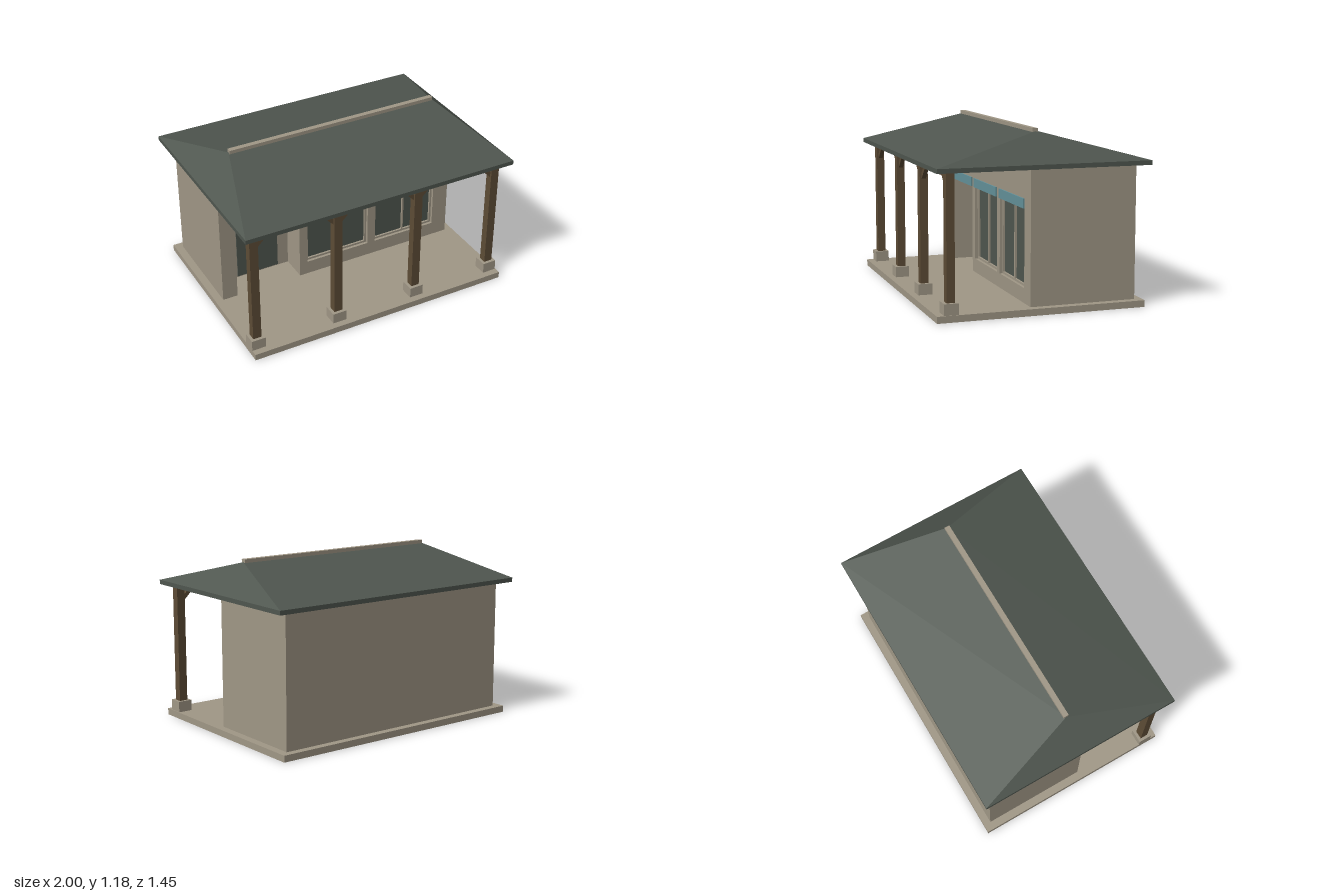
import * as THREE from 'three';

const mat = (name, color) => {
  const m = new THREE.MeshStandardMaterial({ color });
  m.name = name;
  return m;
};

export function createModel() {
  const house = new THREE.Group();
  house.name = 'pavilion';
  const stone = mat('beige stone', 0xa09786);
  const slate = mat('dark slate', 0x4f564f);
  const wood = mat('brown wood', 0x5d4c36);
  const teal = mat('teal', 0x64929a);

  const add = (name, geometry, material) => {
    const mesh = new THREE.Mesh(geometry, material);
    mesh.name = name;
    house.add(mesh);
    return mesh;
  };
  // Box given by its limits on each axis
  const box = (name, material, x0, x1, y0, y1, z0, z1) => {
    const g = new THREE.BoxGeometry(x1 - x0, y1 - y0, z1 - z0);
    g.translate((x0 + x1) / 2, (y0 + y1) / 2, (z0 + z1) / 2);
    return add(name, g, material);
  };
  const polygon = (pts) => new THREE.Shape(pts.map(([x, y]) => new THREE.Vector2(x, y)));
  const rect = (x0, x1, y0, y1) => polygon([[x0, y0], [x1, y0], [x1, y1], [x0, y1]]);
  const extrude = (shape, z0, z1) => {
    const g = new THREE.ExtrudeGeometry(shape, { depth: z1 - z0, bevelEnabled: false });
    return g.translate(0, 0, z0);
  };

  // Floor slab and rear body of the room
  box('floorSlab', stone, -0.965, 0.965, 0, 0.045, -0.705, 0.715);
  box('rearBody', stone, -0.91, 0.91, 0.045, 0.945, -0.655, -0.12);

  // Front wall with a door notch and two window openings
  const windows = [[-0.25, 0.24], [0.3, 0.79]];
  const wall = polygon([
    [-0.91, 0.045], [-0.8, 0.045], [-0.8, 0.7], [-0.31, 0.7], [-0.31, 0.045],
    [0.91, 0.045], [0.91, 0.945], [-0.91, 0.945],
  ]);
  windows.forEach(([a, b]) => wall.holes.push(rect(a, b, 0.145, 0.7)));
  add('frontWall', extrude(wall, -0.12, 0.075), stone);
  box('wallTopPlate', stone, -0.93, 0.93, 0.935, 0.955, 0.03, 0.125);

  // Recessed door and handle
  box('door', slate, -0.71, -0.395, 0.055, 0.675, -0.122, -0.113);
  box('doorHandle', wood, -0.459, -0.451, 0.32, 0.41, -0.113, -0.1);

  // Window frames and panes
  windows.forEach(([a, b]) => {
    const mid = (a + b) / 2;
    const frame = rect(a, b, 0.145, 0.7);
    frame.holes.push(rect(a + 0.015, mid - 0.006, 0.16, 0.685));
    frame.holes.push(rect(mid + 0.006, b - 0.015, 0.16, 0.685));
    add('windowFrame', extrude(frame, 0.03, 0.055), stone);
    box('windowGlass', slate, a + 0.005, b - 0.005, 0.15, 0.695, 0.033, 0.041);
  });

  // Coloured lintels above each opening
  [[-0.8, -0.31], ...windows].forEach(([a, b]) => {
    box('lintel', teal, a, b, 0.67, 0.735, 0.06, 0.085);
  });

  // Porch posts with footings and diagonal braces
  const posts = [-0.915, -0.308, 0.3, 0.91];
  posts.forEach((x, i) => {
    box('postFooting', stone, x - 0.05, x + 0.05, 0.045, 0.12, 0.57, 0.667);
    box('post', wood, x - 0.03, x + 0.03, 0.12, 0.945, 0.59, 0.645);
    [-1, 1].forEach((s) => {
      if ((i === 0 && s < 0) || (i === posts.length - 1 && s > 0)) return;
      const pts = [[0.025, 0.825], [0.12, 0.92], [0.08, 0.92], [0.025, 0.865]];
      const shape = polygon(pts.map(([px, py]) => [x + s * px, py]));
      add('postBrace', extrude(shape, 0.603, 0.632), wood);
    });
  });
  box('porchBeam', wood, -0.94, 0.935, 0.915, 0.945, 0.592, 0.643);

  // Hipped roof: eave band, four slopes and a closed underside
  const zb = -0.725, zf = 0.72, eave = 0.975, soffit = 0.945;
  const ring = (y) => [[-1, y, zf], [1, y, zf], [1, y, zb], [-1, y, zb]];
  const low = ring(soffit), top = ring(eave);
  const rl = [-0.78, 1.165, 0], rr = [0.78, 1.165, 0];
  const pos = [];
  const tri = (...p) => p.forEach((v) => pos.push(...v));
  const quad = (a, b, c, d) => { tri(a, b, c); tri(a, c, d); };
  for (let i = 0; i < 4; i++) {
    const j = (i + 1) % 4;
    quad(low[i], low[j], top[j], top[i]);
  }
  quad(top[0], top[1], rr, rl);
  quad(top[2], top[3], rl, rr);
  tri(top[1], top[2], rr);
  tri(top[3], top[0], rl);
  quad(low[3], low[2], low[1], low[0]);
  const roof = new THREE.BufferGeometry();
  roof.setAttribute('position', new THREE.Float32BufferAttribute(pos, 3));
  roof.computeVertexNormals();
  add('roof', roof, slate);
  box('ridgeCap', stone, -0.78, 0.78, 1.155, 1.185, -0.018, 0.018);

  return house;
}
